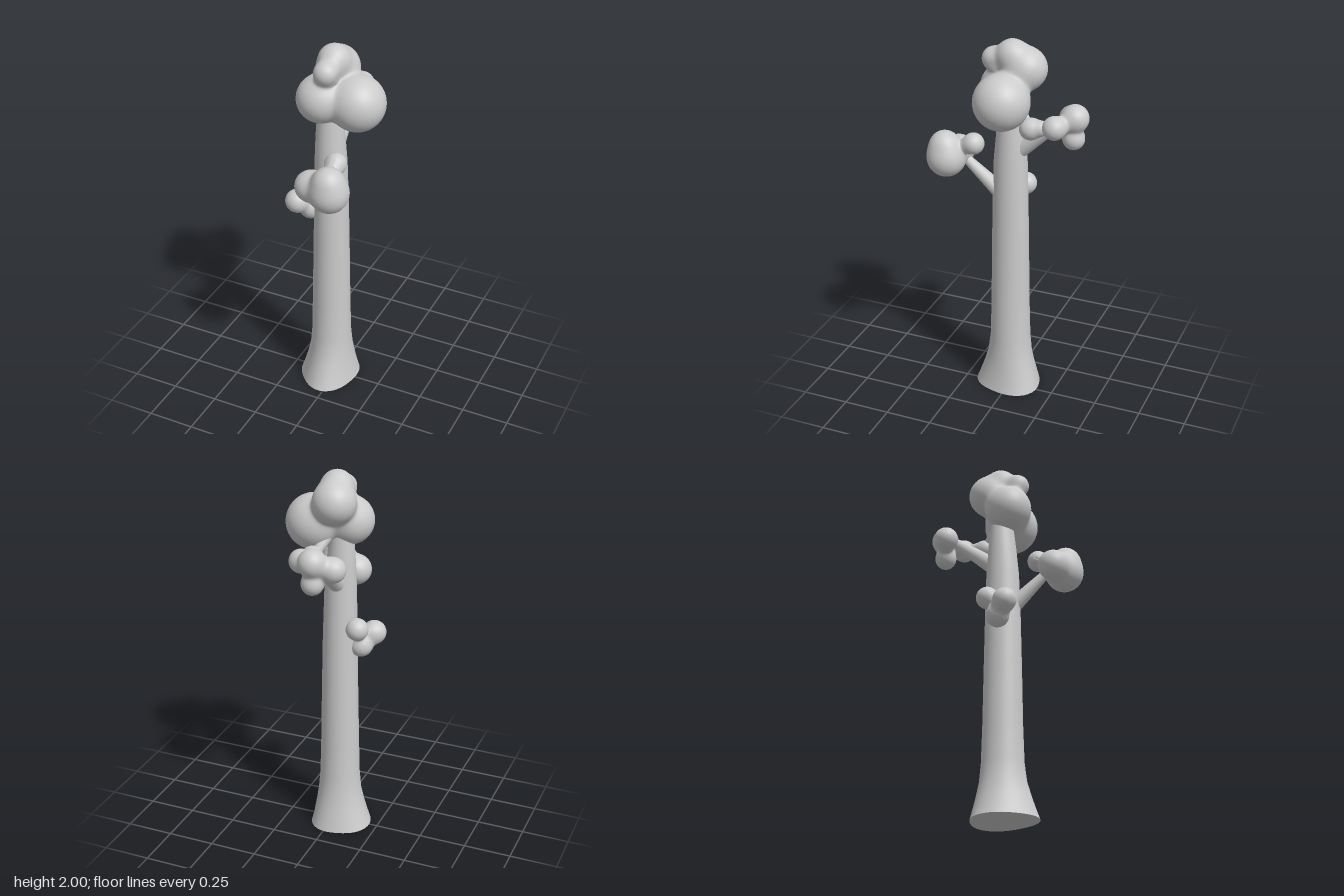
import * as THREE from 'three';
import { mergeVertices } from 'three/addons/utils/BufferGeometryUtils.js';

const material = new THREE.MeshStandardMaterial({ color: 0xcccccc });

function addMesh(parent, name, geometry) {
  const mesh = new THREE.Mesh(geometry, material);
  mesh.name = name;
  parent.add(mesh);
}

// Soft union of balls [x, y, z, radius]
function blend(p, balls, k) {
  let sum = 0;
  for (const [x, y, z, r] of balls) {
    sum += Math.exp(-(Math.hypot(p.x - x, p.y - y, p.z - z) - r) / k);
  }
  return -k * Math.log(sum);
}

// Leaf cluster: a sphere whose vertices move along rays onto the blended balls
function leafCluster(center, balls, k = 0.014, detail = 20) {
  let geometry = new THREE.IcosahedronGeometry(1, detail);
  geometry.deleteAttribute('uv');
  geometry.deleteAttribute('normal');
  geometry = mergeVertices(geometry, 1e-4);
  const pos = geometry.attributes.position;
  const origin = new THREE.Vector3(...center);
  const dir = new THREE.Vector3();
  const p = new THREE.Vector3();
  for (let i = 0; i < pos.count; i++) {
    dir.fromBufferAttribute(pos, i).normalize();
    let t = 0.4;
    for (let step = 0; step < 60 && t > 0; step++) {
      const d = blend(p.copy(origin).addScaledVector(dir, t), balls, k);
      if (d < 0.0003) break;
      t -= d * 0.9;
    }
    p.copy(origin).addScaledVector(dir, Math.max(t, 0.005));
    pos.setXYZ(i, p.x, p.y, p.z);
  }
  geometry.computeVertexNormals();
  return geometry;
}

// Trunk rings: y, centre x, centre z, radius x, radius z
const RINGS = [
  [0, -0.042, 0.01, 0.157, 0.175],
  [0.05, -0.04, 0.008, 0.143, 0.16],
  [0.12, -0.036, 0.006, 0.128, 0.14],
  [0.2, -0.033, 0.004, 0.114, 0.12],
  [0.3, -0.032, 0.004, 0.106, 0.109],
  [0.5, -0.032, 0.004, 0.101, 0.103],
  [0.8, -0.031, 0.004, 0.095, 0.099],
  [1.1, -0.031, 0.004, 0.089, 0.094],
  [1.35, -0.033, 0.004, 0.083, 0.087],
  [1.5, -0.036, 0.003, 0.075, 0.075],
  [1.62, -0.038, 0.002, 0.066, 0.063],
  [1.74, -0.035, 0.002, 0.055, 0.053],
];

function trunkGeometry(sides = 40) {
  const verts = [], index = [];
  RINGS.forEach(([y, cx, cz, rx, rz], j) => {
    const flare = Math.max(0, 1 - y / 0.3);
    for (let i = 0; i < sides; i++) {
      const a = (i / sides) * Math.PI * 2;
      const s = 1 + 0.06 * flare * Math.cos(3 * (a + Math.PI / 4));
      verts.push(cx + rx * s * Math.cos(a), y, cz + rz * s * Math.sin(a));
      if (j < RINGS.length - 1) {
        const n = (i + 1) % sides;
        const b = j * sides, t = b + sides;
        index.push(b + i, t + i, b + n, b + n, t + i, t + n);
      }
    }
  });
  // Flat underside with its own vertices, so the rim stays sharp
  const base = verts.length / 3;
  verts.push(...verts.slice(0, sides * 3), RINGS[0][1], 0, RINGS[0][2]);
  for (let i = 0; i < sides; i++) index.push(base + sides, base + i, base + ((i + 1) % sides));
  const geometry = new THREE.BufferGeometry();
  geometry.setAttribute('position', new THREE.Float32BufferAttribute(verts, 3));
  geometry.setIndex(index);
  geometry.computeVertexNormals();
  return geometry;
}

// Tapered branch between two points
function branch(from, to, r0, r1) {
  const a = new THREE.Vector3(...from), b = new THREE.Vector3(...to);
  const dir = b.clone().sub(a);
  const geometry = new THREE.CylinderGeometry(r1, r0, dir.length(), 16, 1);
  geometry.applyQuaternion(
    new THREE.Quaternion().setFromUnitVectors(new THREE.Vector3(0, 1, 0), dir.normalize()));
  const mid = a.add(b).multiplyScalar(0.5);
  return geometry.translate(mid.x, mid.y, mid.z);
}

export function createModel() {
  const tree = new THREE.Group();
  tree.name = 'tree';
  addMesh(tree, 'trunk', trunkGeometry());

  // Branches
  addMesh(tree, 'frontBranch', branch([-0.02, 1.15, 0.04], [0.02, 1.34, 0.23], 0.045, 0.024));
  addMesh(tree, 'backBranch', branch([-0.035, 1.4, -0.03], [-0.03, 1.6, -0.27], 0.048, 0.026));
  addMesh(tree, 'sideBranch', branch([-0.05, 1.02, 0.0], [-0.15, 1.12, 0.03], 0.03, 0.022));
  addMesh(tree, 'twig', branch([0.06, 1.57, -0.14], [0.0, 1.69, -0.03], 0.024, 0.03));

  // Leaf clusters
  addMesh(tree, 'crownLeaves', leafCluster([0, 1.77, 0], [
    [0.107, 1.712, -0.003, 0.143],
    [-0.065, 1.725, 0.05, 0.123],
    [-0.03, 1.85, -0.075, 0.11],
    [-0.02, 1.915, -0.01, 0.08],
    [-0.02, 1.885, 0.088, 0.06],
  ]));
  addMesh(tree, 'frontLeaves', leafCluster([0.06, 1.4, 0.27], [
    [0.1, 1.365, 0.302, 0.1],
    [0.1, 1.43, 0.31, 0.076],
    [-0.01, 1.365, 0.28, 0.08],
    [0.07, 1.45, 0.165, 0.056],
  ]));
  addMesh(tree, 'backLeaves', leafCluster([-0.03, 1.595, -0.3], [
    [-0.025, 1.63, -0.34, 0.07],
    [-0.115, 1.59, -0.292, 0.064],
    [0.065, 1.6, -0.265, 0.06],
    [-0.025, 1.52, -0.335, 0.056],
  ]));
  addMesh(tree, 'twigLeaves', leafCluster([0.06, 1.577, -0.15], [
    [0.06, 1.575, -0.138, 0.056],
    [0.06, 1.587, -0.2, 0.035],
  ], 0.014, 10));
  addMesh(tree, 'sideLeaves', leafCluster([-0.155, 1.12, 0.02], [
    [-0.19, 1.12, 0.08, 0.062],
    [-0.14, 1.062, 0.02, 0.06],
    [-0.14, 1.175, -0.038, 0.058],
  ]));
  return tree;
}
